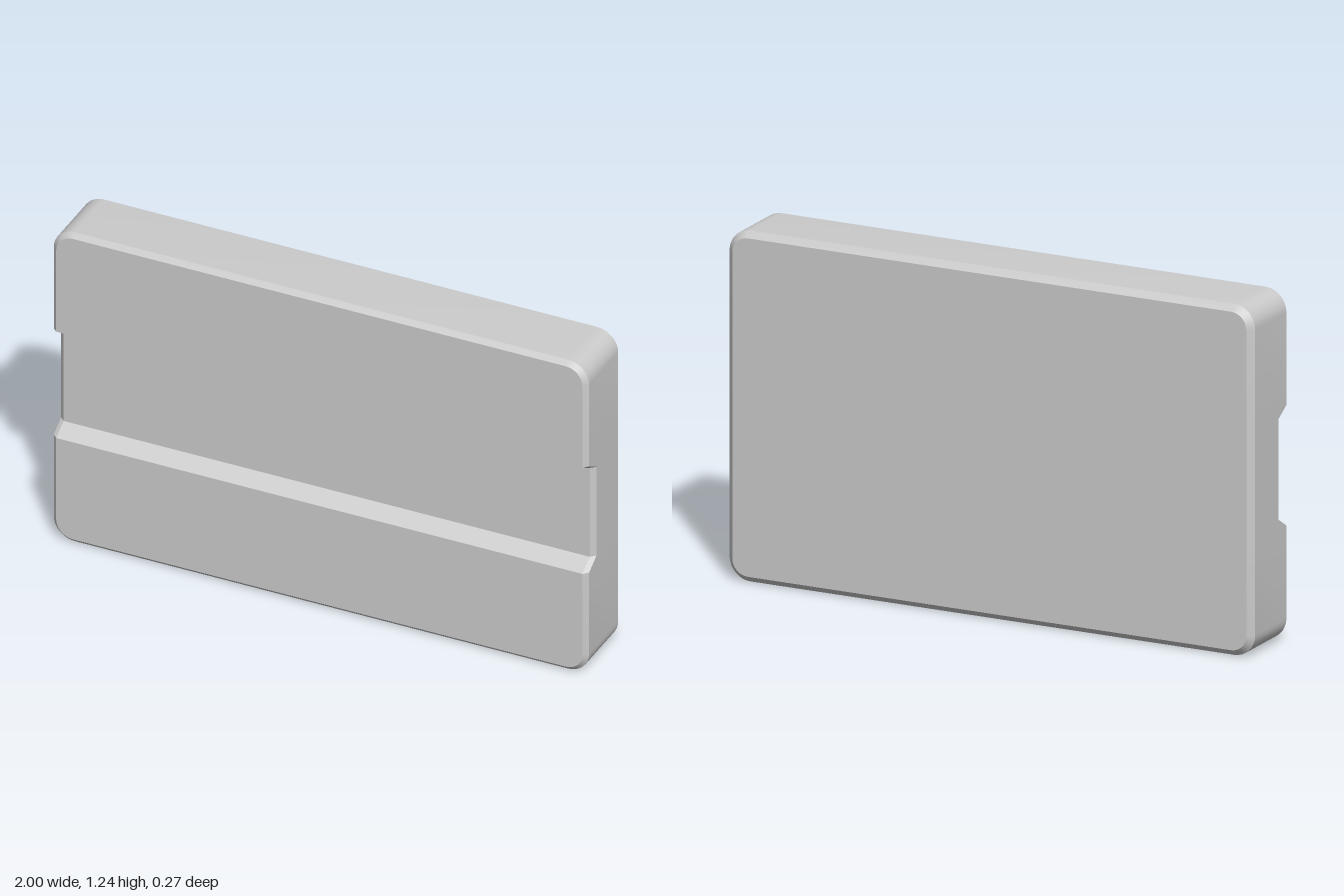
import * as THREE from 'three';
import { toCreasedNormals } from 'three/addons/utils/BufferGeometryUtils.js';

const H = 1.235, D = 0.133, R = 0.08;    // height, half depth, corner radius
const FRONT_BEVEL = 0.017, BACK_BEVEL = 0.022;
const GROOVE_Z = 0.075;
const SEG = 8;

// Right-hand edge from bottom to top, drawn in by a bevel; z may depend on the point.
function rightEdge(inset, z) {
  const pts = [];
  const arc = (cy, start) => {
    for (let i = 0; i <= SEG; i++) {
      const a = start + (i / SEG) * Math.PI / 2;
      pts.push([1 - R + (R - inset) * Math.cos(a), cy + (R - inset) * Math.sin(a), z(false)]);
    }
  };
  arc(R, -Math.PI / 2);
  // groove: outer lips at the face, floor set back
  for (const [y, floor] of [[0.405, false], [0.44, true], [0.795, true], [0.83, false]]) {
    pts.push([1 - inset, y, z(floor)]);
  }
  arc(H - R, 0);
  return pts;
}

const mirror = ([x, y, z]) => [-x, y, z];

function buildBody() {
  const face = (floor) => (floor ? GROOVE_Z : D);
  const edges = [
    rightEdge(BACK_BEVEL, () => -D),
    rightEdge(0, () => -D + BACK_BEVEL),
    rightEdge(0, (floor) => face(floor) - FRONT_BEVEL),
    rightEdge(FRONT_BEVEL, face),
  ];
  const position = [];
  const quad = (a, b, c, d) => position.push(...a, ...b, ...c, ...a, ...c, ...d);

  // bevels and side wall between closed loops
  const loops = edges.map((e) => [...e, ...e.map(mirror).reverse()]);
  for (let k = 0; k < 3; k++) {
    const back = loops[k], front = loops[k + 1], n = back.length;
    for (let i = 0; i < n; i++) {
      const j = (i + 1) % n;
      quad(back[i], back[j], front[j], front[i]);
    }
  }
  // front (with groove) and back, in bands from left to right
  const front = edges[3], back = edges[0];
  for (let i = 0; i < front.length - 1; i++) {
    quad(mirror(front[i]), front[i], front[i + 1], mirror(front[i + 1]));
    quad(back[i], mirror(back[i]), mirror(back[i + 1]), back[i + 1]);
  }

  const geometry = new THREE.BufferGeometry();
  geometry.setAttribute('position', new THREE.Float32BufferAttribute(position, 3));
  return toCreasedNormals(geometry, Math.PI / 8);
}

export function createModel() {
  const model = new THREE.Group();
  model.name = 'groovedBlock';
  const body = new THREE.Mesh(buildBody(), new THREE.MeshStandardMaterial({ color: 0xcccccc }));
  body.name = 'groovedBody';
  model.add(body);
  return model;
}
